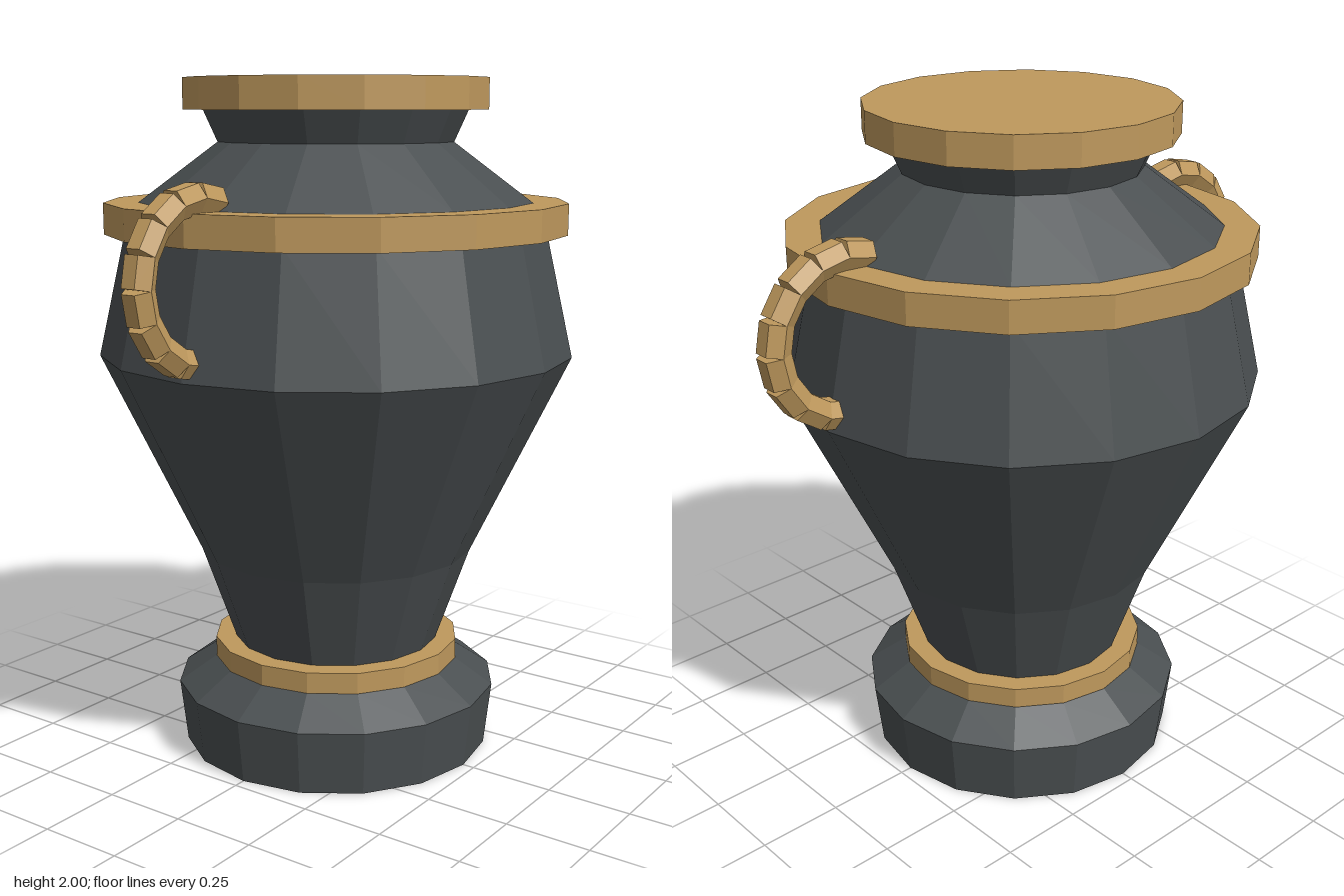
import * as THREE from 'three';

const SIDES = 16;

export function createModel() {
  const model = new THREE.Group();
  model.name = 'urn';

  const stone = new THREE.MeshStandardMaterial({ color: 0x4a4f51, flatShading: true });
  stone.name = 'dark stone';
  const gold = new THREE.MeshStandardMaterial({ color: 0xbf995d, flatShading: true });
  gold.name = 'gold';

  // Solid of revolution, profile listed from bottom to top as [radius, y]
  const turned = (name, profile, material) => {
    const points = profile.map(([r, y]) => new THREE.Vector2(r, y));
    const mesh = new THREE.Mesh(new THREE.LatheGeometry(points, SIDES), material);
    mesh.name = name;
    model.add(mesh);
  };
  const band = (name, radius, y0, y1) =>
    turned(name, [[0, y0], [radius, y0], [radius, y1], [0, y1]], gold);

  // Foot, body and neck
  turned('foot', [[0, 0], [0.465, 0], [0.487, 0.19], [0.375, 0.265], [0, 0.265]], stone);
  turned('body', [
    [0, 0.3], [0.3, 0.3], [0.31, 0.325], [0.41, 0.61], [0.697, 1.21],
    [0.615, 1.57], [0.575, 1.65], [0.345, 1.82], [0.39, 1.92], [0, 1.92],
  ], stone);

  // Gold bands and closed rim
  band('footBand', 0.373, 0.263, 0.327);
  band('shoulderBand', 0.675, 1.56, 1.65);
  band('rim', 0.443, 1.91, 2);

  // Handles: short hexagonal links along an arc
  const arcRadius = 0.215;
  const step = Math.PI / 8;
  const link = new THREE.CylinderGeometry(0.045, 0.045, 0.086, 6);
  for (const side of [1, -1]) {
    const handle = new THREE.Group();
    handle.name = side > 0 ? 'leftHandle' : 'rightHandle';
    handle.position.set(side * 0.63, 1.47, 0);
    for (let i = 0; i < 9; i++) {
      const angle = (i - 3.5) * step;
      const mesh = new THREE.Mesh(link, gold);
      mesh.name = 'handleLink';
      mesh.position.set(side * arcRadius * Math.cos(angle), arcRadius * Math.sin(angle), 0);
      mesh.rotation.z = side * angle;
      handle.add(mesh);
    }
    model.add(handle);
  }

  return model;
}
